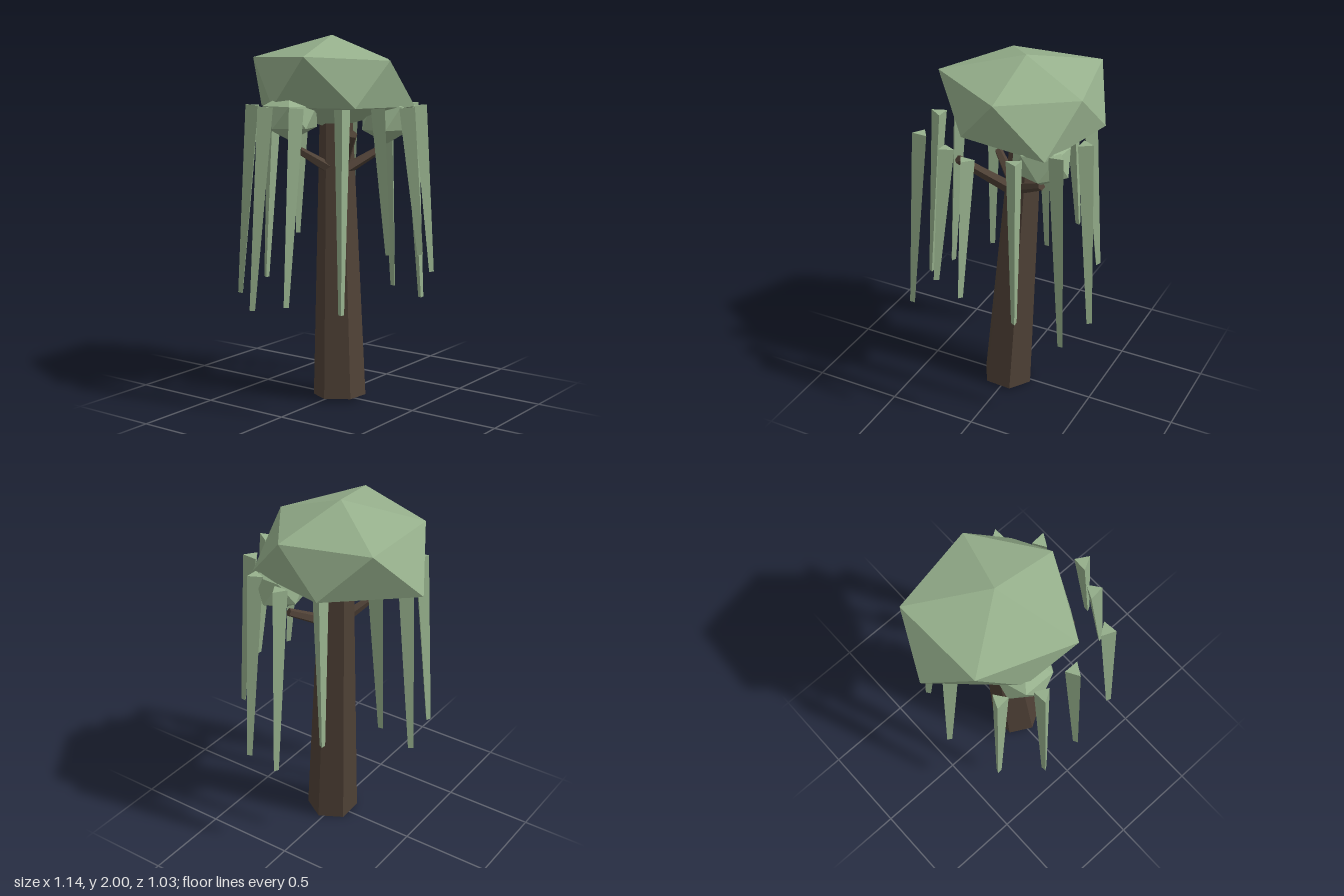
import * as THREE from 'three';
import { ConvexGeometry } from 'three/addons/geometries/ConvexGeometry.js';

const leaf = new THREE.MeshStandardMaterial({ color: 0x96b08c });
leaf.name = 'sageGreen';
const bark = new THREE.MeshStandardMaterial({ color: 0x4f4136 });
bark.name = 'darkBark';

// faceted normals
function flat(geometry) {
  const g = geometry.index ? geometry.toNonIndexed() : geometry;
  g.computeVertexNormals();
  return g;
}

// tapered prism from a to b; one corner faces the angle "turn" about its axis
function limb(name, a, b, ra, rb, sides, material, turn = 0) {
  const from = new THREE.Vector3(...a), to = new THREE.Vector3(...b);
  const dir = to.clone().sub(from);
  const g = new THREE.CylinderGeometry(rb, ra, dir.length(), sides);
  g.rotateY(turn);
  const mesh = new THREE.Mesh(flat(g), material);
  mesh.name = name;
  mesh.quaternion.setFromUnitVectors(new THREE.Vector3(0, 1, 0), dir.normalize());
  mesh.position.copy(from).add(to).multiplyScalar(0.5);
  return mesh;
}

// small faceted leaf clump
function clump(name, pos, scale, turn) {
  const g = new THREE.IcosahedronGeometry(1, 0);
  g.rotateZ(-0.5536);
  g.rotateY(turn);
  g.scale(...scale);
  const mesh = new THREE.Mesh(flat(g), leaf);
  mesh.name = name;
  mesh.position.set(...pos);
  return mesh;
}

export function createModel() {
  const tree = new THREE.Group();
  tree.name = 'willowTree';

  // leaning six-sided trunk
  tree.add(limb('trunk', [0.025, 0.013, 0.01], [-0.05, 1.52, -0.06], 0.145, 0.092, 6, bark));

  // forked branches
  tree.add(limb('branchFrontLeft', [-0.01, 1.23, -0.03], [0.24, 1.49, 0.19], 0.038, 0.024, 5, bark));
  tree.add(limb('branchFrontRight', [-0.01, 1.25, -0.02], [-0.14, 1.38, 0.15], 0.036, 0.022, 5, bark));
  tree.add(limb('branchBack', [0, 1.25, -0.01], [0.13, 1.38, -0.24], 0.036, 0.022, 5, bark));

  // main crown: top, upper ring, lower ring, bottom
  const crownPoints = [
    [-0.07, 2.0, -0.05],
    [-0.44, 1.89, -0.32], [0.05, 1.865, -0.42], [0.31, 1.865, -0.05], [0.07, 1.89, 0.39], [-0.42, 1.88, 0.2],
    [-0.57, 1.6, -0.05], [-0.2, 1.63, -0.45], [0.29, 1.61, -0.33], [0.24, 1.62, 0.17], [-0.2, 1.62, 0.31],
    [-0.08, 1.49, -0.05],
  ].map((p) => new THREE.Vector3(...p));
  const crown = new THREE.Mesh(new ConvexGeometry(crownPoints), leaf);
  crown.name = 'crown';
  tree.add(crown);

  // lower clumps
  tree.add(clump('frontClump', [-0.14, 1.57, 0.235], [0.17, 0.13, 0.165], 0.3));
  tree.add(clump('backClump', [0.16, 1.55, -0.25], [0.15, 0.145, 0.175], 0.9));

  // hanging strands: top x, top z, tip x, tip z, tip height
  const strands = [
    [0.04, -0.44, 0.045, -0.5, 0.55], [0.235, -0.375, 0.275, -0.435, 0.52],
    [0.385, -0.21, 0.455, -0.245, 0.72], [0.465, 0.02, 0.553, 0.022, 0.865],
    [0.395, 0.17, 0.477, 0.205, 0.88], [0.3, 0.37, 0.345, 0.44, 0.59],
    [0.033, 0.415, 0.033, 0.5, 0.6], [-0.167, 0.405, -0.2, 0.49, 0.55],
    [-0.345, 0.285, -0.41, 0.335, 0.595], [-0.43, 0.01, -0.495, 0.01, 0.62],
    [-0.38, -0.18, -0.44, -0.21, 0.855], [-0.165, -0.37, -0.215, -0.43, 0.77],
  ];
  const strandGroup = new THREE.Group();
  strandGroup.name = 'hangingStrands';
  strands.forEach(([x, z, tx, tz, ty], i) => {
    const turn = Math.atan2(x - 0.04, z);
    strandGroup.add(limb('strand' + (i + 1), [tx, ty, tz], [x, 1.627, z], 0.017, 0.047, 3, leaf, turn));
  });
  tree.add(strandGroup);

  return tree;
}
